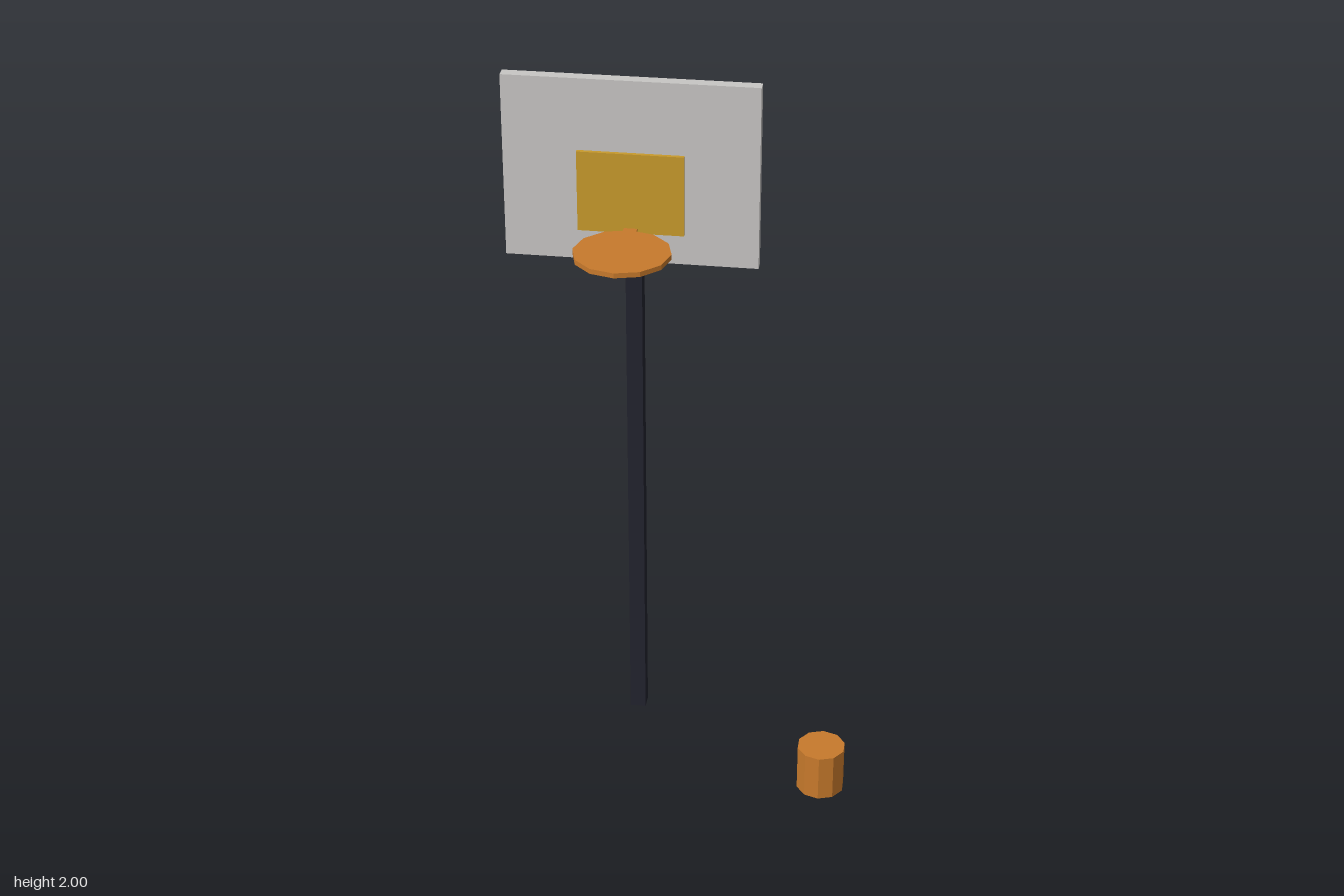
import * as THREE from 'three';

const mat = (name, color) => {
  const m = new THREE.MeshStandardMaterial({ color, flatShading: true });
  m.name = name;
  return m;
};

export function createModel() {
  const group = new THREE.Group();
  group.name = 'basketballHoop';

  const darkMetal = mat('dark metal', 0x22232e);
  const boardGrey = mat('board grey', 0xc8c6c4);
  const targetYellow = mat('target yellow', 0xc89a2c);
  const orange = mat('orange', 0xc87a2c);

  const add = (name, geometry, material, x, y, z) => {
    const mesh = new THREE.Mesh(geometry, material);
    mesh.name = name;
    mesh.position.set(x, y, z);
    group.add(mesh);
  };
  // Box given by its lower and upper corner
  const box = (name, material, [x0, y0, z0], [x1, y1, z1]) =>
    add(name, new THREE.BoxGeometry(x1 - x0, y1 - y0, z1 - z0), material,
      (x0 + x1) / 2, (y0 + y1) / 2, (z0 + z1) / 2);

  const hoopX = -0.149;

  // Post and backboard
  box('pole', darkMetal, [hoopX - 0.0225, 0, -0.209], [hoopX + 0.0225, 1.943, -0.164]);
  box('backboard', boardGrey, [hoopX - 0.342, 1.487, -0.164], [hoopX + 0.342, 2, -0.131]);
  box('targetPanel', targetYellow, [hoopX - 0.143, 1.574, -0.131], [hoopX + 0.143, 1.8, -0.12]);

  // Solid twelve-sided rim with its short bracket
  add('rim', new THREE.CylinderGeometry(0.131, 0.131, 0.014, 12), orange, hoopX, 1.581, 0.023);
  box('rimBracket', orange, [hoopX - 0.018, 1.574, -0.122], [hoopX + 0.018, 1.588, -0.1]);

  // Blocky ten-sided ball on the ground
  add('ball', new THREE.CylinderGeometry(0.068, 0.068, 0.137, 10), orange, 0.424, 0.0685, 0.137);

  return group;
}
